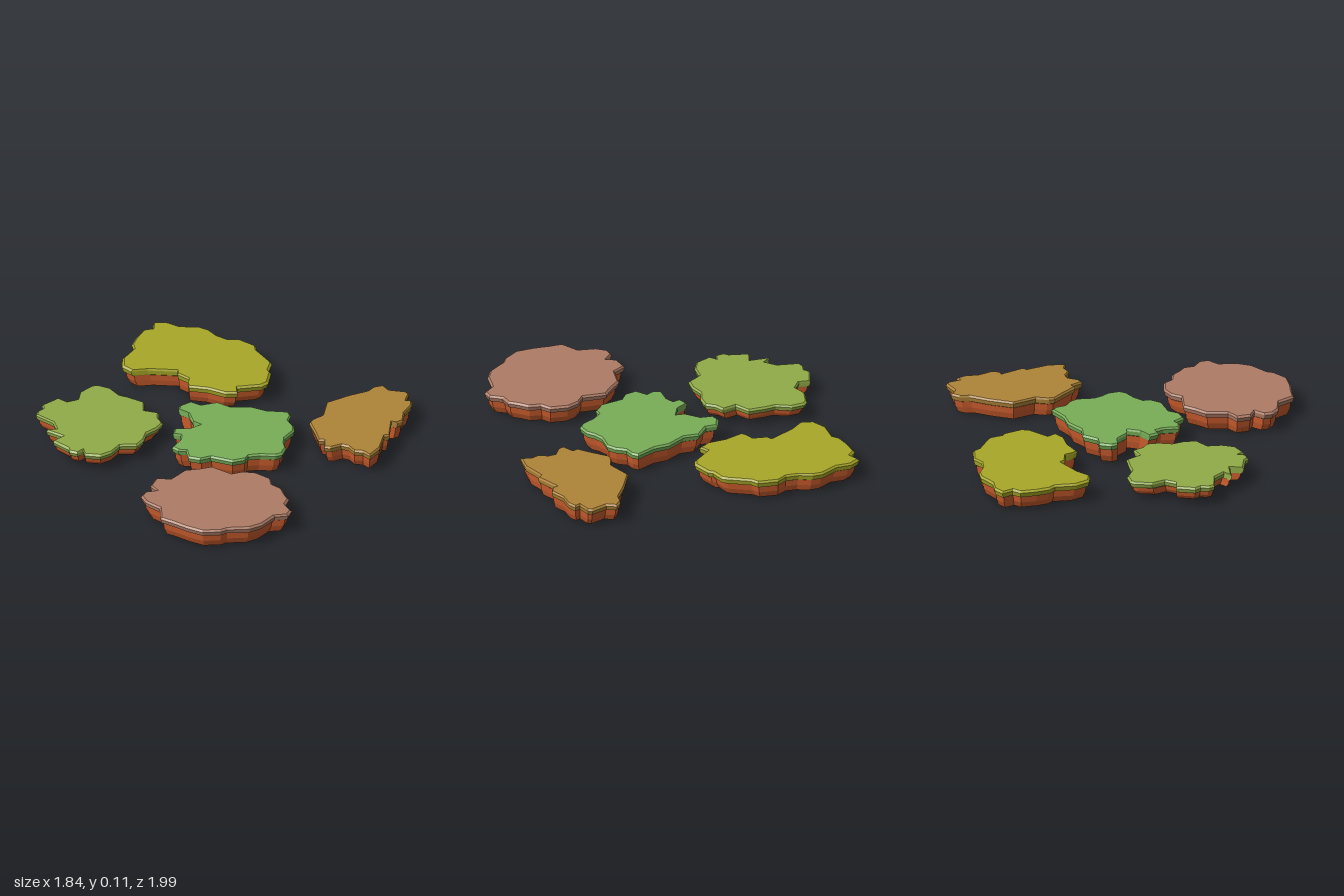
import * as THREE from 'three';
import { mergeGeometries } from 'three/addons/utils/BufferGeometryUtils.js';

// Coastlines as x, z pairs, clockwise seen from above
const OLIVE = [-.47, -.99, -.41, -1, -.34, -.97, -.24, -.98, -.19, -.96, -.14, -.91, -.08, -.88, -.02, -.89,
  .07, -.84, .08, -.8, .165, -.7, .175, -.68, .17, -.61, .185, -.59, .185, -.49, .16, -.46, .04, -.42,
  .05, -.37, -.01, -.36, -.1, -.39, -.2, -.395, -.21, -.42, -.21, -.47, -.275, -.51, -.28, -.54, -.43, -.53,
  -.51, -.505, -.56, -.54, -.57, -.62, -.53, -.72, -.545, -.76, -.535, -.83, -.51, -.91, -.465, -.93];
const CENTRE = [-.22, -.21, -.175, -.255, -.12, -.23, -.04, -.27, .03, -.235, .14, -.25, .22, -.225, .33, -.23,
  .345, -.2, .34, -.15, .375, -.1, .385, -.055, .35, .025, .355, .08, .37, .12, .36, .18, .33, .2,
  .255, .205, .195, .225, .185, .26, .125, .29, .01, .265, -.04, .295, -.1, .285, -.12, .22, -.16, .225,
  -.195, .2, -.165, .125, -.17, .075, -.21, .07, -.21, .02, -.14, .01, -.085, -.04, -.13, -.065,
  -.165, -.145, -.22, -.175];
const LEAF = [-.68, -.35, -.655, -.36, -.59, -.34, -.535, -.28, -.485, -.265, -.4, -.23, -.385, -.145,
  -.31, -.135, -.305, -.085, -.275, -.04, -.295, .015, -.34, .07, -.345, .14, -.37, .195, -.455, .21,
  -.485, .28, -.535, .325, -.615, .325, -.63, .28, -.655, .315, -.695, .305, -.705, .28, -.79, .22,
  -.745, .165, -.84, .12, -.79, .105, -.82, .035, -.915, -.025, -.915, -.055, -.89, -.09, -.9, -.125,
  -.835, -.2, -.785, -.17, -.73, -.205, -.73, -.28];
const OCHRE = [.715, -.54, .755, -.56, .79, -.52, .88, -.515, .895, -.5, .89, -.43, .92, -.43, .925, -.385,
  .9, -.315, .905, -.235, .88, -.21, .85, -.215, .86, -.08, .835, -.07, .83, .055, .795, .13, .755, .1,
  .71, .1, .675, .06, .635, .05, .585, .085, .555, .085, .545, .02, .515, .02, .485, -.055, .445, -.14,
  .455, -.17, .5, -.22, .5, -.35, .6, -.435, .69, -.495];
const CLAY = [.03, .355, .14, .41, .195, .38, .26, .38, .34, .425, .355, .48, .41, .515, .435, .57, .46, .61,
  .45, .665, .49, .72, .48, .765, .415, .785, .365, .875, .31, .92, .2, .945, .17, .97, .08, .99,
  -.005, .96, -.085, .92, -.145, .895, -.165, .795, -.245, .745, -.275, .695, -.265, .655, -.205, .63,
  -.245, .585, -.23, .515, -.155, .505, -.1, .41, -.03, .385];

// Coastline shrunk towards the middle of the island
function ring(outline, scale) {
  const box = new THREE.Box2();
  const pts = [];
  for (let i = 0; i < outline.length; i += 2) pts.push(new THREE.Vector2(outline[i], outline[i + 1]));
  const mid = box.setFromPoints(pts).getCenter(new THREE.Vector2());
  return pts.map(p => p.sub(mid).multiplyScalar(scale).add(mid));
}

// Flat lid facing up (side 1) or down (side -1)
function cap(outline, [y, scale], side) {
  const shape = new THREE.Shape(ring(outline, scale).map(p => new THREE.Vector2(p.x, -side * p.y)));
  const geo = new THREE.ShapeGeometry(shape).rotateX(-side * Math.PI / 2).translate(0, y, 0).toNonIndexed();
  geo.deleteAttribute('uv');
  return geo;
}

// Solid layer through [height, scale] levels, from the top down
function layer(name, outline, levels, color) {
  const pos = [];
  const rings = levels.map(([y, s]) => ring(outline, s).map(p => [p.x, y, p.y]));
  for (let k = 0; k + 1 < rings.length; k++) {
    const n = rings[k].length;
    for (let i = 0; i < n; i++) {
      const j = (i + 1) % n, a = rings[k], b = rings[k + 1];
      pos.push(...a[i], ...a[j], ...b[i], ...a[j], ...b[j], ...b[i]);
    }
  }
  const walls = new THREE.BufferGeometry();
  walls.setAttribute('position', new THREE.Float32BufferAttribute(pos, 3));
  walls.computeVertexNormals();
  const geo = mergeGeometries([walls, cap(outline, levels[0], 1), cap(outline, levels.at(-1), -1)]);
  const mesh = new THREE.Mesh(geo, new THREE.MeshStandardMaterial({ color, flatShading: true }));
  mesh.name = name;
  return mesh;
}

// Island: bevelled turf slab over a tapering rock base
function island(name, outline, color, top, seam, bottom) {
  const group = new THREE.Group();
  group.name = name;
  group.add(
    layer('turf', outline, [[top, .97], [top - .01, 1], [seam + .004, .98], [seam, .95]], color),
    layer('rock', outline, [[seam + .002, .95], [(seam + bottom) / 2, .935], [bottom, .89]], 0xc75b2c)
  );
  return group;
}

export function createModel() {
  const model = new THREE.Group();
  model.name = 'islands';
  model.add(
    island('backIsland', OLIVE, 0xa8a828, .11, .072, .008),
    island('centreIsland', CENTRE, 0x78ae58, .108, .072, 0),
    island('rightSideIsland', LEAF, 0x92ac48, .1, .066, .028),
    island('leftSideIsland', OCHRE, 0xae8438, .108, .072, .008),
    island('frontIsland', CLAY, 0xae7c66, .108, .072, .004)
  );
  return model;
}
